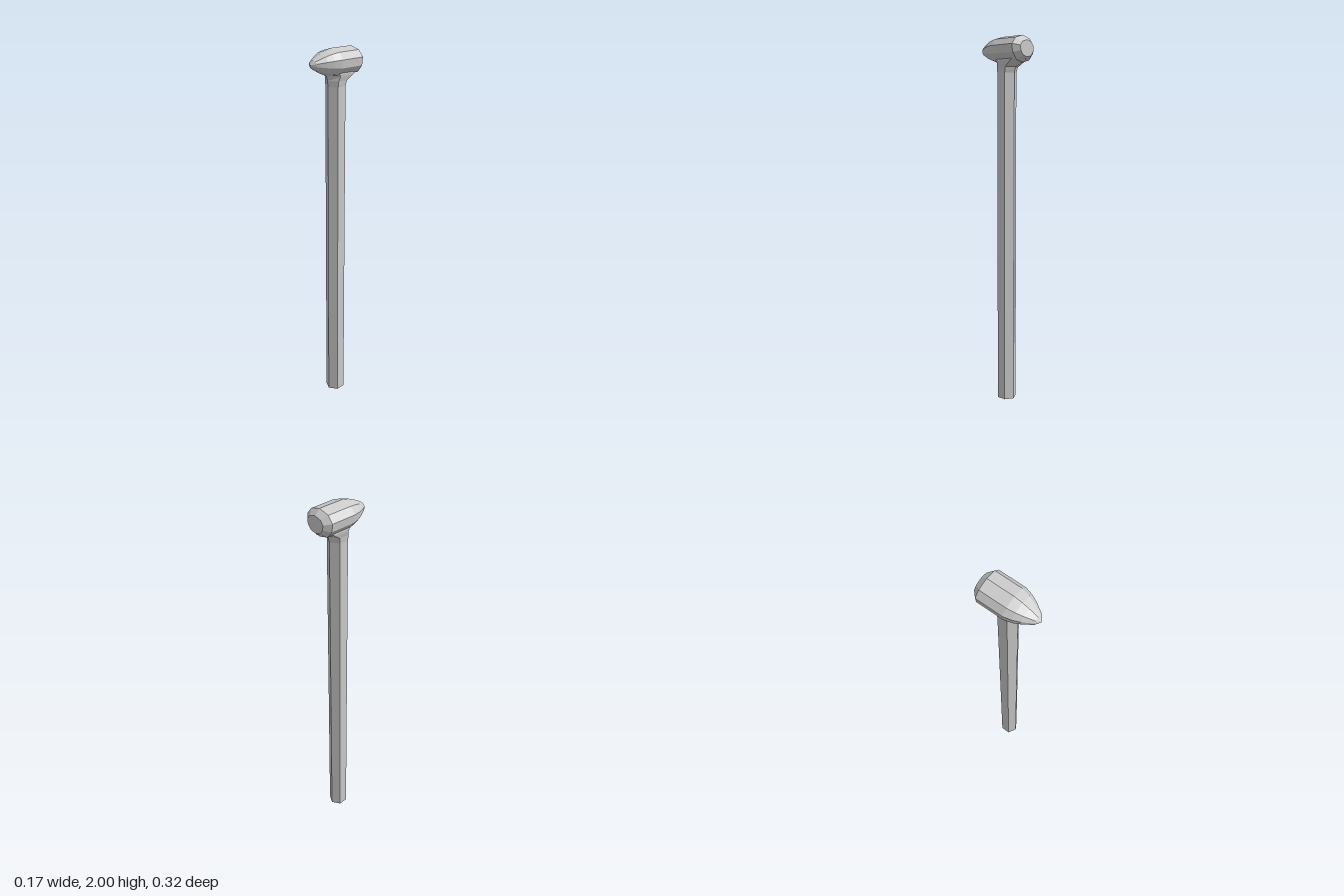
import * as THREE from 'three';

const material = new THREE.MeshStandardMaterial({ color: 0xcccccc, flatShading: true });

// Skins a row of equal-sized rings, counter-clockwise seen from the far end, and caps both ends.
function loft(name, rings) {
  const n = rings[0].length;
  const positions = [];
  const tri = (a, b, c) => positions.push(...a, ...b, ...c);
  for (let r = 0; r < rings.length - 1; r++) {
    for (let i = 0; i < n; i++) {
      const j = (i + 1) % n;
      const [a, b, c, d] = [rings[r][i], rings[r][j], rings[r + 1][j], rings[r + 1][i]];
      tri(a, b, c);
      tri(a, c, d);
    }
  }
  const first = rings[0], last = rings[rings.length - 1];
  for (let i = 1; i < n - 1; i++) {
    tri(first[0], first[i + 1], first[i]);
    tri(last[0], last[i], last[i + 1]);
  }
  const geometry = new THREE.BufferGeometry();
  geometry.setAttribute('position', new THREE.Float32BufferAttribute(positions, 3));
  geometry.computeVertexNormals();
  const mesh = new THREE.Mesh(geometry, material);
  mesh.name = name;
  return mesh;
}

// Horizontal hexagon with corners at its front and back ends
function hexRing([y, halfWidth, front, back]) {
  const mid = (front + back) / 2, halfDepth = (front - back) / 2;
  return Array.from({ length: 6 }, (_, i) => {
    const a = (i * Math.PI) / 3;
    return [(Math.sin(a) * halfWidth) / Math.sin(Math.PI / 3), y, mid + Math.cos(a) * halfDepth];
  });
}

export function createModel() {
  const group = new THREE.Group();
  group.name = 'knobbedStaff';

  // Shaft: [height, half width, front z, back z]
  const shaft = [[0, 0.046, 0.035, -0.071], [1.81, 0.046, 0.035, -0.071]];
  group.add(loft('shaft', shaft.map(hexRing)));

  // Neck flaring into the underside of the head
  const neck = [
    shaft[1],
    [1.84, 0.05, 0.038, -0.08],
    [1.862, 0.056, 0.045, -0.125],
    [1.875, 0.058, 0.06, -0.152],
    [1.9, 0.05, 0.06, -0.15],
  ];
  group.add(loft('neck', neck.map(hexRing)));

  // Head: a ten-sided section, scaled along z from the blunt back to the pointed nose
  const centreY = 1.93;
  const half = [[0.057, 0.054], [0.085, 0.02], [0.08, -0.022], [0.05, -0.058]];
  const section = [
    [0, 0.07],
    ...half.map(([x, y]) => [-x, y]),
    [0, -0.07],
    ...half.slice().reverse(),
  ];
  const stations = [
    [-0.16, 0.62], [-0.13, 1], [0.014, 1], [0.056, 0.87], [0.09, 0.68], [0.138, 0.33], [0.158, 0.001],
  ];
  group.add(loft('head', stations.map(([z, s]) => section.map(([x, y]) => [x * s, centreY + y * s, z]))));

  return group;
}
